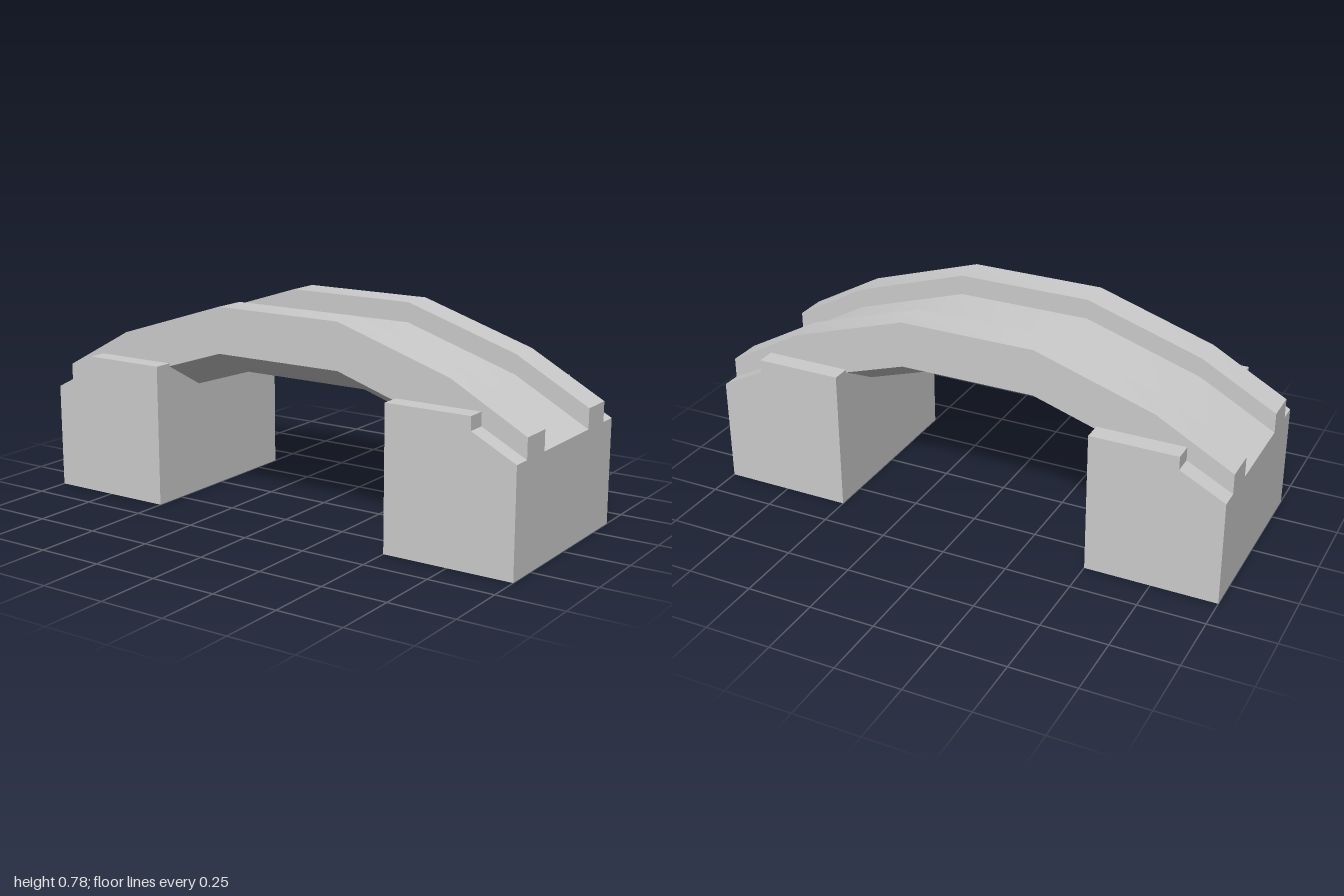
import * as THREE from 'three';
import { toCreasedNormals } from 'three/addons/utils/BufferGeometryUtils.js';

const stone = new THREE.MeshStandardMaterial({ color: 0xcccccc });
stone.name = 'pale grey stone';

function add(parent, name, geometry) {
  const mesh = new THREE.Mesh(geometry, stone);
  mesh.name = name;
  parent.add(mesh);
  return mesh;
}

// Extrudes an x-y outline between two z positions
function slab(points, z0, z1) {
  const shape = new THREE.Shape(points.map(([x, y]) => new THREE.Vector2(x, y)));
  return new THREE.ExtrudeGeometry(shape, { depth: z1 - z0, bevelEnabled: false }).translate(0, 0, z0);
}

// Sweeps the walkway cross-section (z, drop below the rail line) along the arch
function archGeometry() {
  const line = [[-1, 0.476], [-0.71, 0.635], [-0.26, 0.778], [0.26, 0.778], [0.71, 0.635], [1, 0.476]];
  const section = [
    [0.3, 0], [0.3, -0.175], [0.125, -0.274], [-0.125, -0.274], [-0.3, -0.175],
    [-0.3, 0], [-0.173, 0], [-0.173, -0.076], [0.173, -0.076], [0.173, 0],
  ];
  const n = section.length;
  const positions = [];
  const index = [];
  for (const [x, y] of line) for (const [z, drop] of section) positions.push(x, y + drop, z);
  for (let i = 0; i < line.length - 1; i++) {
    for (let j = 0; j < n; j++) {
      const k = (j + 1) % n;
      const a = i * n + j, b = i * n + k, c = b + n, d = a + n;
      index.push(a, b, c, a, c, d);
    }
  }
  // End caps
  const cap = [[9, 0, 1], [9, 1, 8], [1, 2, 8], [2, 3, 7], [2, 7, 8], [3, 4, 7], [4, 5, 6], [4, 6, 7]];
  const last = (line.length - 1) * n;
  for (const [a, b, c] of cap) index.push(a + last, b + last, c + last, c, b, a);

  const geometry = new THREE.BufferGeometry();
  geometry.setAttribute('position', new THREE.Float32BufferAttribute(positions, 3));
  geometry.setIndex(index);
  return toCreasedNormals(geometry, 0.56);
}

export function createModel() {
  const bridge = new THREE.Group();
  bridge.name = 'footbridge';

  add(bridge, 'archedWalkway', archGeometry());

  // Abutments: a core under the walkway and a stepped cheek on either side
  const core = [[0.5, 0], [1, 0], [1, 0.39], [0.71, 0.5], [0.5, 0.55]];
  const cheek = [[0.5, 0], [1, 0], [1, 0.4], [0.83, 0.488], [0.83, 0.538], [0.5, 0.538]];
  for (const side of [1, -1]) {
    const abutment = new THREE.Group();
    abutment.name = side > 0 ? 'leftAbutment' : 'rightAbutment';
    const mirrored = (points) => points.map(([x, y]) => [x * side, y]);
    add(abutment, 'abutmentCore', slab(mirrored(core), -0.3, 0.3));
    add(abutment, 'frontCheek', slab(mirrored(cheek), 0.3, 0.372));
    add(abutment, 'backCheek', slab(mirrored(cheek), -0.372, -0.3));
    bridge.add(abutment);
  }

  // Small wedge of stone showing in the walkway beside the back rail
  const wedge = slab([[-0.83, 0.18], [-0.76, 0.07], [-0.74, 0.18]], 0.45, 0.538);
  wedge.rotateX(-Math.PI / 2);
  wedge.scale(1, 1, 1);
  add(bridge, 'stoneWedge', wedge);

  return bridge;
}
